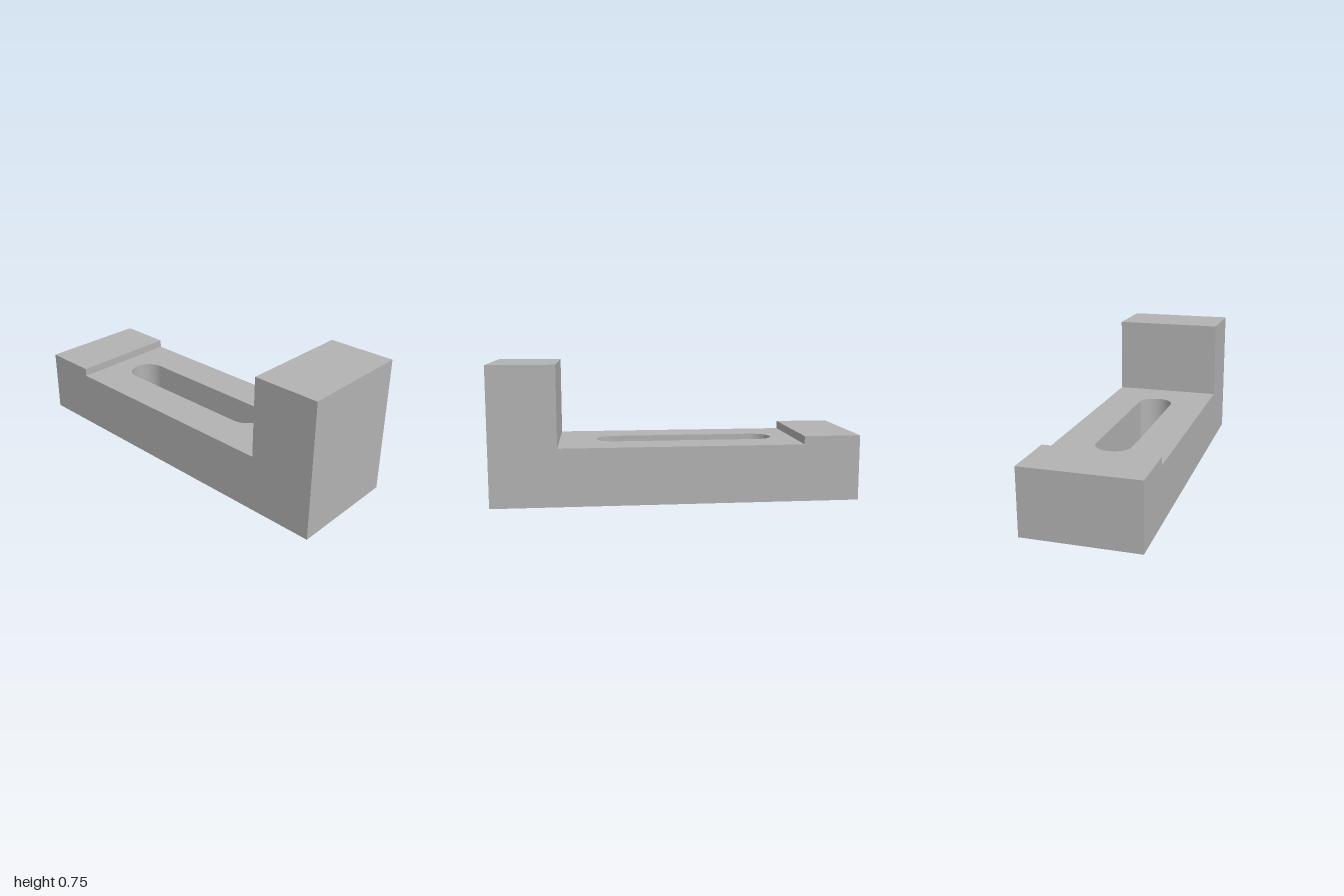
import * as THREE from 'three';

const HALF_DEPTH = 0.31;
const RECESS_TOP = 0.07, BED_Y = 0.315;
const SLOT_X = -0.07, SLOT_HALF = 0.4; // centre and half distance between the end arcs
const SLOT_R = 0.1, RECESS_R = 0.2;
const STEP_X = -0.69, JAW_X = 0.64;

// Outline of a round-ended slot: position and outward direction of every point
function slotOutline(r, steps = 24) {
  const out = [];
  for (const side of [1, -1]) {
    for (let i = 0; i <= steps; i++) {
      const a = -Math.PI / 2 + Math.PI * (i / steps) + (side < 0 ? Math.PI : 0);
      const dx = Math.cos(a), dz = Math.sin(a);
      out.push({ x: SLOT_X + side * SLOT_HALF + r * dx, z: r * dz, dx, dz });
    }
  }
  return out;
}

const toPoints = (outline) => outline.map((p) => new THREE.Vector2(p.x, p.z));

// Level face with a slot cut out, facing up or down
function levelFace(outer, holeR, y, up) {
  const shape = new THREE.Shape(outer);
  shape.holes.push(new THREE.Path(toPoints(slotOutline(holeR))));
  return new THREE.ShapeGeometry(shape).rotateX(up ? -Math.PI / 2 : Math.PI / 2).translate(0, y, 0);
}

const rectangle = (x0, x1) => [
  [x0, -HALF_DEPTH], [x1, -HALF_DEPTH], [x1, HALF_DEPTH], [x0, HALF_DEPTH],
].map(([x, z]) => new THREE.Vector2(x, z));

// Inward-facing smooth wall around a slot
function slotWall(r, y0, y1) {
  const outline = slotOutline(r);
  const pos = [], nor = [], idx = [];
  outline.push(outline[0]);
  outline.forEach((p, i) => {
    pos.push(p.x, y0, p.z, p.x, y1, p.z);
    nor.push(-p.dx, 0, -p.dz, -p.dx, 0, -p.dz);
    if (i < outline.length - 1) {
      const a = i * 2;
      idx.push(a, a + 2, a + 1, a + 2, a + 3, a + 1);
    }
  });
  const g = new THREE.BufferGeometry();
  g.setAttribute('position', new THREE.Float32BufferAttribute(pos, 3));
  g.setAttribute('normal', new THREE.Float32BufferAttribute(nor, 3));
  g.setIndex(idx);
  return g;
}

// Flat strip running through the depth along one edge of the side profile
function edgeFace(p, q) {
  const d = HALF_DEPTH;
  const g = new THREE.BufferGeometry();
  g.setAttribute('position', new THREE.Float32BufferAttribute([
    p.x, p.y, d, p.x, p.y, -d, q.x, q.y, -d, q.x, q.y, d], 3));
  g.setIndex([0, 1, 2, 0, 2, 3]);
  g.computeVertexNormals();
  return g;
}

export function createModel() {
  const model = new THREE.Group();
  model.name = 'slottedClamp';
  const steel = new THREE.MeshStandardMaterial({ color: 0xb2b2b2 });
  steel.name = 'plain grey';
  const add = (name, geometry) => {
    const mesh = new THREE.Mesh(geometry, steel);
    mesh.name = name;
    model.add(mesh);
    return mesh;
  };

  // Side profile, counter-clockwise seen from the front
  const profile = [
    [-1, 0], [1, 0], [1, 0.755], [JAW_X, 0.755],
    [JAW_X, BED_Y], [STEP_X, BED_Y], [STEP_X, 0.36], [-1, 0.36],
  ].map(([x, y]) => new THREE.Vector2(x, y));
  const side = new THREE.ShapeGeometry(new THREE.Shape(profile));
  add('frontSide', side.clone().translate(0, 0, HALF_DEPTH));
  add('backSide', side.clone().rotateY(Math.PI).scale(1, 1, 1).translate(0, 0, 0));
  // The back uses the mirrored profile, turned to face backwards
  const mirrored = profile.map((p) => new THREE.Vector2(-p.x, p.y)).reverse();
  model.getObjectByName('backSide').geometry =
    new THREE.ShapeGeometry(new THREE.Shape(mirrored)).rotateY(Math.PI).translate(0, 0, -HALF_DEPTH);

  // Plain faces around the profile; the underside and bed carry the slot
  const names = [null, 'jawEnd', 'jawTop', 'jawInner', null, 'stepInner', 'stepTop', 'stepEnd'];
  names.forEach((name, i) => {
    if (name) add(name, edgeFace(profile[i], profile[(i + 1) % profile.length]));
  });
  add('underside', levelFace(rectangle(-1, 1), RECESS_R, 0, false));
  add('bed', levelFace(rectangle(STEP_X, JAW_X), SLOT_R, BED_Y, true));

  // Through slot with a wider recess below
  add('recessShoulder', levelFace(toPoints(slotOutline(RECESS_R)), SLOT_R, RECESS_TOP, false));
  add('recessWall', slotWall(RECESS_R, 0, RECESS_TOP));
  add('slotWall', slotWall(SLOT_R, RECESS_TOP, BED_Y));
  return model;
}
